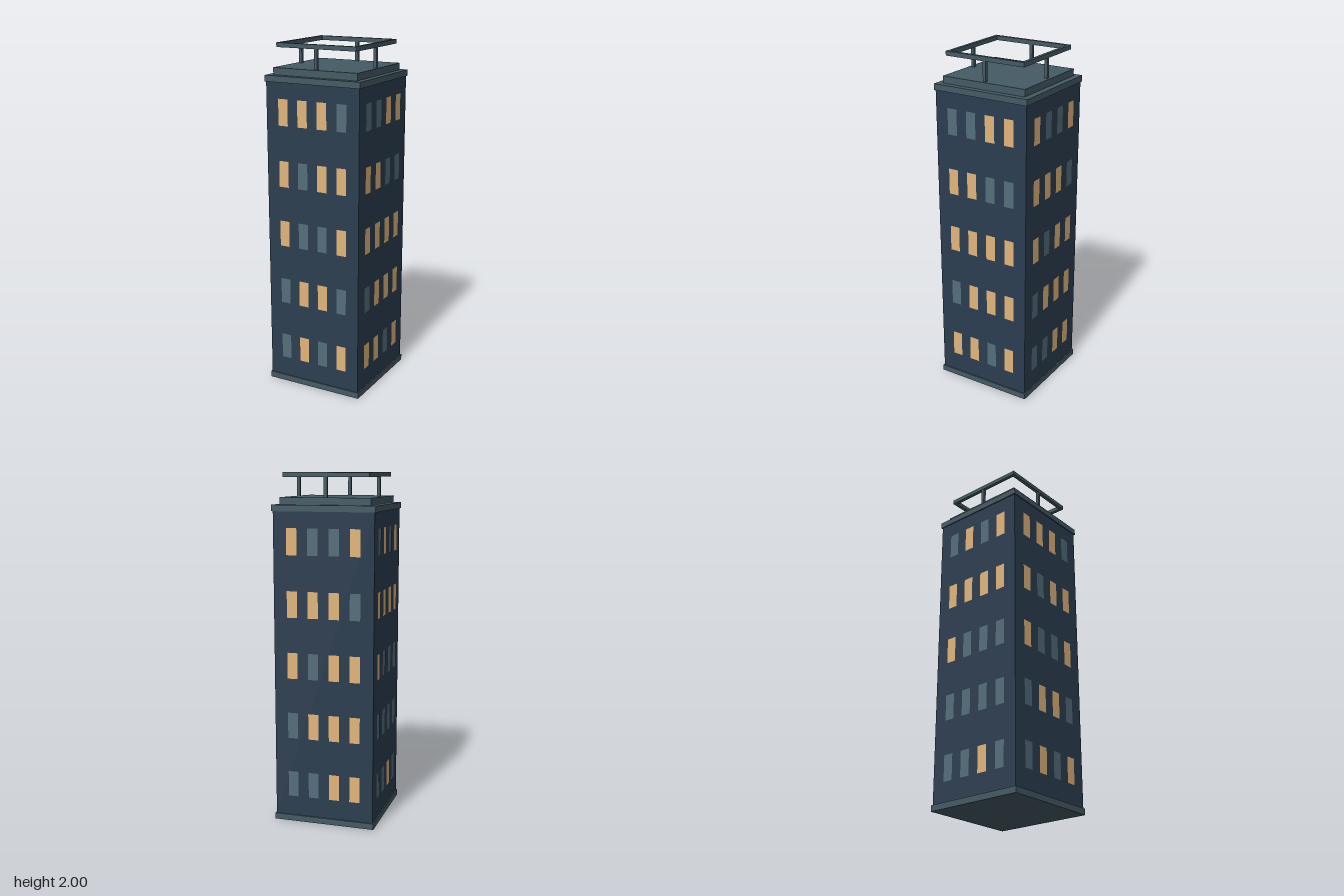
import * as THREE from 'three';

const paint = (color) => new THREE.MeshStandardMaterial({ color });

export function createModel() {
  const tower = new THREE.Group();
  tower.name = 'tower';
  const wall = paint(0x2c3e50);
  const trim = paint(0x455a64);
  const lit = paint(0xe2b67b);
  const dark = paint(0x546e7a);

  // Box standing on height y0, reaching up to y1
  function block(name, w, d, y0, y1, material, x = 0, z = 0, parent = tower) {
    const mesh = new THREE.Mesh(new THREE.BoxGeometry(w, y1 - y0, d), material);
    mesh.position.set(x, (y0 + y1) / 2, z);
    mesh.name = name;
    parent.add(mesh);
    return mesh;
  }

  // Shaft, base and stepped roof
  block('base', 0.593, 0.593, 0, 0.035, trim);
  block('shaft', 0.58, 0.58, 0.035, 1.79, wall);
  block('cornice', 0.593, 0.593, 1.79, 1.825, trim);
  block('roofSlab', 0.522, 0.522, 1.825, 1.865, trim);

  // Windows of each face, top floor first, left to right; 1 is lit
  const faces = [
    ['front', ['1110', '1011', '1001', '0110', '0101']],
    ['left', ['0011', '1100', '1111', '0111', '1101']],
    ['back', ['1001', '1110', '1011', '0111', '0011']],
    ['right', ['0101', '1111', '1000', '0000', '0010']],
  ];
  const pane = new THREE.PlaneGeometry(0.06, 0.15);
  faces.forEach(([name, floors], side) => {
    const face = new THREE.Group();
    face.name = name + 'Windows';
    face.rotation.y = side * Math.PI / 2;
    floors.forEach((floor, row) => {
      [...floor].forEach((state, column) => {
        const isLit = state === '1';
        const mesh = new THREE.Mesh(pane, isLit ? lit : dark);
        mesh.name = isLit ? 'litWindow' : 'darkWindow';
        mesh.position.set((column - 1.5) * 0.122, 1.625 - row * 0.35, 0.292);
        face.add(mesh);
      });
    });
    tower.add(face);
  });

  // Square rail with one post at the middle of each side
  const outer = 0.247, inner = 0.228;
  const square = new THREE.Shape();
  square.moveTo(-outer, -outer).lineTo(outer, -outer).lineTo(outer, outer).lineTo(-outer, outer).closePath();
  const hole = new THREE.Path();
  hole.moveTo(-inner, -inner).lineTo(-inner, inner).lineTo(inner, inner).lineTo(inner, -inner).closePath();
  square.holes.push(hole);
  const rail = new THREE.Mesh(
    new THREE.ExtrudeGeometry(square, { depth: 0.025, bevelEnabled: false }).rotateX(-Math.PI / 2), trim);
  rail.position.y = 1.975;
  rail.name = 'roofRail';
  tower.add(rail);
  for (const [x, z] of [[1, 0], [-1, 0], [0, 1], [0, -1]]) {
    block('railPost', 0.018, 0.018, 1.865, 1.975, trim, x * 0.2375, z * 0.2375);
  }

  return tower;
}
